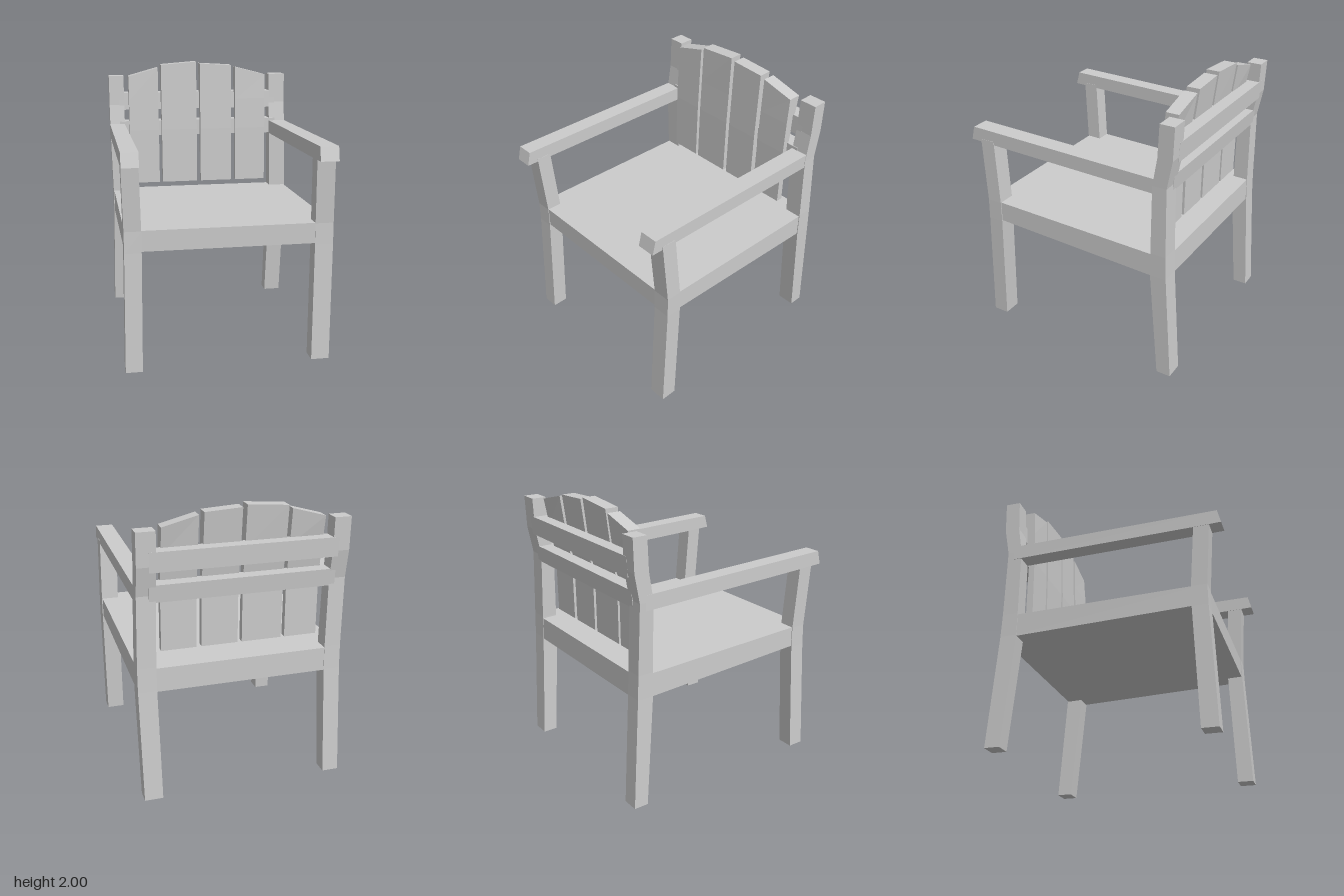
import * as THREE from 'three';

const material = new THREE.MeshStandardMaterial({ color: 0xcccccc, flatShading: true, side: THREE.DoubleSide });

// Four-cornered cross-section; yL and yR let the ring slope sideways
const ring = (x0, x1, zBack, zFront, yL, yR = yL) => [
  [x0, yL, zFront], [x1, yR, zFront], [x1, yR, zBack], [x0, yL, zBack],
];

// Closed, flat-sided timber through a stack of rings, bottom to top
function loft(rings) {
  const pos = [];
  const quad = (a, b, c, d) => pos.push(...a, ...b, ...c, ...a, ...c, ...d);
  for (let i = 0; i < rings.length - 1; i++) {
    const lo = rings[i], hi = rings[i + 1];
    for (let j = 0; j < 4; j++) {
      const k = (j + 1) % 4;
      quad(lo[j], lo[k], hi[k], hi[j]);
    }
  }
  const [a, b, c, d] = rings[0];
  quad(d, c, b, a);
  quad(...rings[rings.length - 1]);
  const geo = new THREE.BufferGeometry();
  geo.setAttribute('position', new THREE.Float32BufferAttribute(pos, 3));
  geo.computeVertexNormals();
  return geo;
}

// Side profile of [z, y] points, extruded from x0 to x1
function sideProfile(points, x0, x1) {
  const shape = new THREE.Shape(points.map(([z, y]) => new THREE.Vector2(z, y)));
  const geo = new THREE.ExtrudeGeometry(shape, { depth: x1 - x0, bevelEnabled: false });
  return geo.rotateY(-Math.PI / 2).translate(x1, 0, 0);
}

export function createModel() {
  const chair = new THREE.Group();
  chair.name = 'armchair';
  const add = (name, geo) => {
    const mesh = new THREE.Mesh(geo, material);
    mesh.name = name;
    chair.add(mesh);
  };

  // Posts as [y, back z, front z, sideways drift]
  const frontPost = [
    [0, 0.63, 0.745, 0], [0.84, 0.595, 0.708, 0.013],
    [0.99, 0.595, 0.705, 0.013], [1.46, 0.627, 0.737, 0.002],
  ];
  const backPost = [
    [0, -0.81, -0.705, 0], [0.8, -0.763, -0.645, 0.013], [0.97, -0.757, -0.645, 0.013],
    [1.46, -0.745, -0.643, 0.002], [1.66, -0.782, -0.675, 0.002], [1.89, -0.79, -0.685, 0.002],
  ];
  const arm = [[-0.7, 1.404], [0.62, 1.435], [0.82, 1.442], [0.795, 1.54], [-0.7, 1.508]];

  // Both sides: posts and armrest
  for (const [side, x0, x1] of [['right', -0.73, -0.613], ['left', 0.582, 0.711]]) {
    const post = (rows) => loft(rows.map(([y, zb, zf, dx]) => ring(x0 + dx, x1 + dx, zb, zf, y)));
    add(side + 'FrontLeg', post(frontPost));
    add(side + 'BackLeg', post(backPost));
    add(side + 'Armrest', sideProfile(arm, x0, x1));
  }

  // Thick, slightly sloping seat
  add('seat', sideProfile([[-0.758, 0.79], [0.702, 0.848], [0.702, 0.993], [-0.755, 0.957]], -0.712, 0.718));

  // Cross rails between the back posts
  add('lowerBackRail', sideProfile([[-0.745, 1.41], [-0.645, 1.41], [-0.648, 1.53], [-0.757, 1.53]], -0.65, 0.63));
  add('upperBackRail', sideProfile([[-0.78, 1.62], [-0.672, 1.62], [-0.68, 1.755], [-0.787, 1.755]], -0.65, 0.63));

  // Backrest slats as [x0, x1, top at x0, top at x1], forming an arch
  const slats = [
    [-0.575, -0.34, 1.89, 1.955], [-0.315, -0.03, 1.978, 2],
    [0, 0.255, 1.985, 1.97], [0.29, 0.535, 1.955, 1.892],
  ];
  slats.forEach(([x0, x1, yL, yR], i) => add('backSlat' + (i + 1), loft([
    ring(x0, x1, -0.647, -0.597, 1.03),
    ring(x0, x1, -0.65, -0.607, 1.46),
    ring(x0, x1, -0.69, -0.618, 1.7),
    ring(x0, x1, -0.725, -0.63, yL, yR),
  ])));

  return chair;
}
